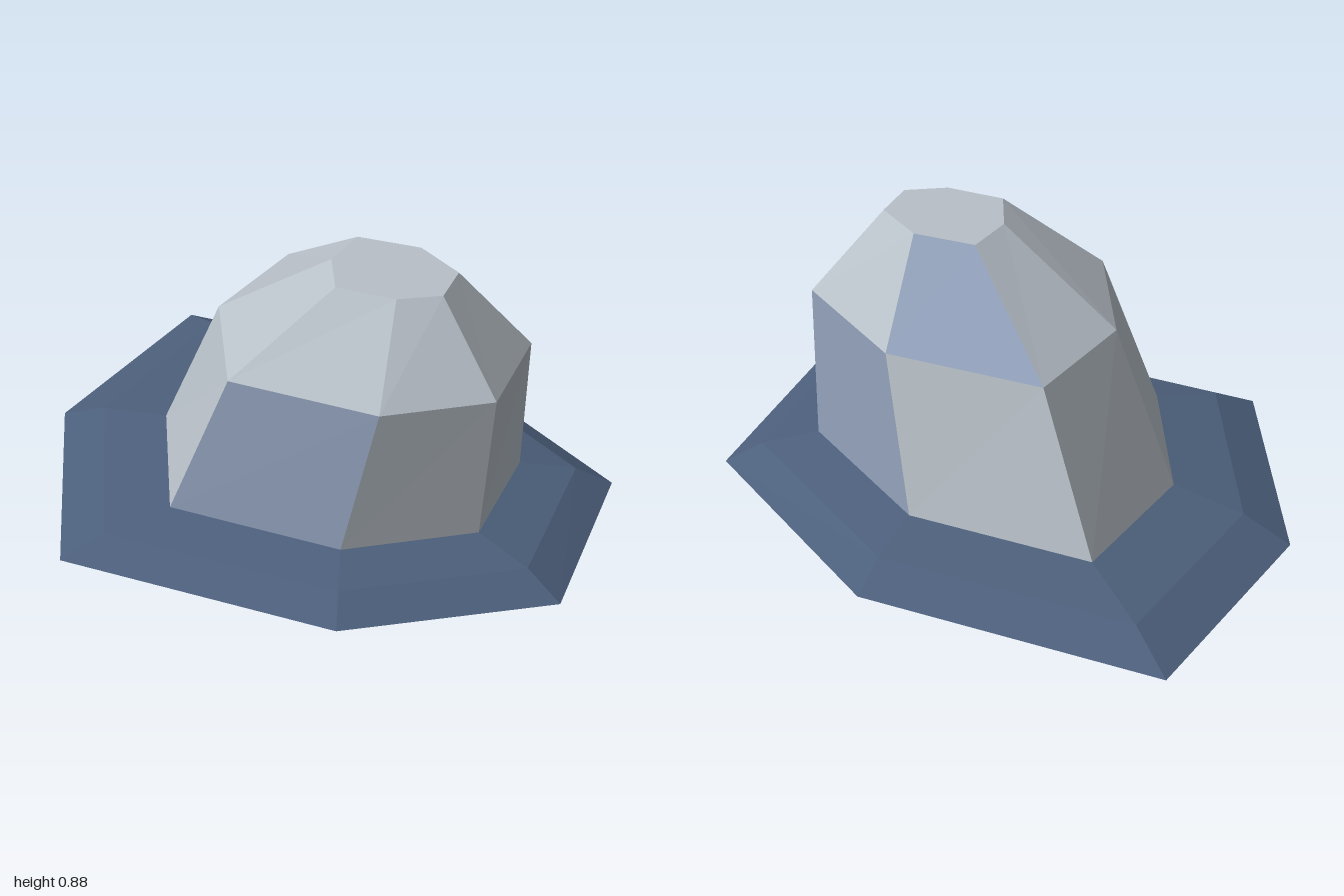
import * as THREE from 'three';

const material = (name, color) => new THREE.MeshStandardMaterial({ name, color, flatShading: true });

// Seven-cornered outlines as [x, z], counter-clockwise seen from above
const BRIM = [[1, 0.02], [0.76, -0.61], [-0.08, -0.83], [-1, -0.52], [-0.87, 0.24], [-0.28, 0.83], [0.58, 0.55]];
const BASE = [[0.68, 0], [0.55, -0.39], [0, -0.53], [-0.57, -0.34], [-0.49, 0.14], [-0.12, 0.51], [0.42, 0.34]];
const SHOULDER = [[0.72, 0], [0.6, -0.34], [0.15, -0.46], [-0.33, -0.29], [-0.27, 0.11], [0.05, 0.42], [0.51, 0.28]];
const CROWN = [[0.5, 0.02], [0.45, -0.16], [0.27, -0.21], [0.08, -0.14], [0.11, -0.02], [0.23, 0.145], [0.41, 0.085]];
CROWN[0][1] = -0.02;
CROWN[4][1] = 0.02;

const ring = (outline, y) => outline.map(([x, z]) => new THREE.Vector3(x, y, z));

function facesToMesh(name, faces, mat) {
  const points = [];
  // Each face is a convex polygon, cut into a fan of triangles
  for (const f of faces) {
    for (let i = 1; i < f.length - 1; i++) points.push(f[0], f[i], f[i + 1]);
  }
  const geometry = new THREE.BufferGeometry().setFromPoints(points);
  geometry.computeVertexNormals();
  const mesh = new THREE.Mesh(geometry, mat);
  mesh.name = name;
  return mesh;
}

// Quads between a lower and an upper ring
const band = (low, high) => low.map((p, i) => {
  const j = (i + 1) % low.length;
  return [p, low[j], high[j], high[i]];
});

export function createModel() {
  const group = new THREE.Group();
  group.name = 'facetedDome';
  const navy = material('navy', 0x4c5f7b);
  const grey = material('paleGrey', 0xb8c0c8);
  const blue = material('greyBlue', 0x909fb8);

  // Brim: bevelled underside, sharp rim and two gentle slopes
  const bottom = ring(BRIM.map(([x, z]) => [x * 0.8, z * 0.8]), 0);
  const rim = ring(BRIM, 0.03);
  const base = ring(BASE, 0.13);
  const slope = rim.map((p, i) => p.clone().lerp(base[i], 0.4).setY(0.095));
  const brimFaces = [[...bottom].reverse(), ...band(bottom, rim), ...band(rim, slope), ...band(slope, base)];
  group.add(facesToMesh('brim', brimFaces, navy));

  // Dome: leaning walls, sloping shoulders and flat crown
  const shoulder = ring(SHOULDER, 0.61);
  const crown = ring(CROWN, 0.875);
  const walls = band(base, shoulder);
  const slopes = band(shoulder, crown);
  const bluePanels = [walls[1], walls[5], slopes[2]];
  const isGrey = (f) => !bluePanels.includes(f);
  group.add(facesToMesh('walls', walls.filter(isGrey), grey));
  group.add(facesToMesh('shoulders', slopes.filter(isGrey), grey));
  group.add(facesToMesh('crown', [crown], grey));
  group.add(facesToMesh('bluePanels', bluePanels, blue));
  return group;
}
